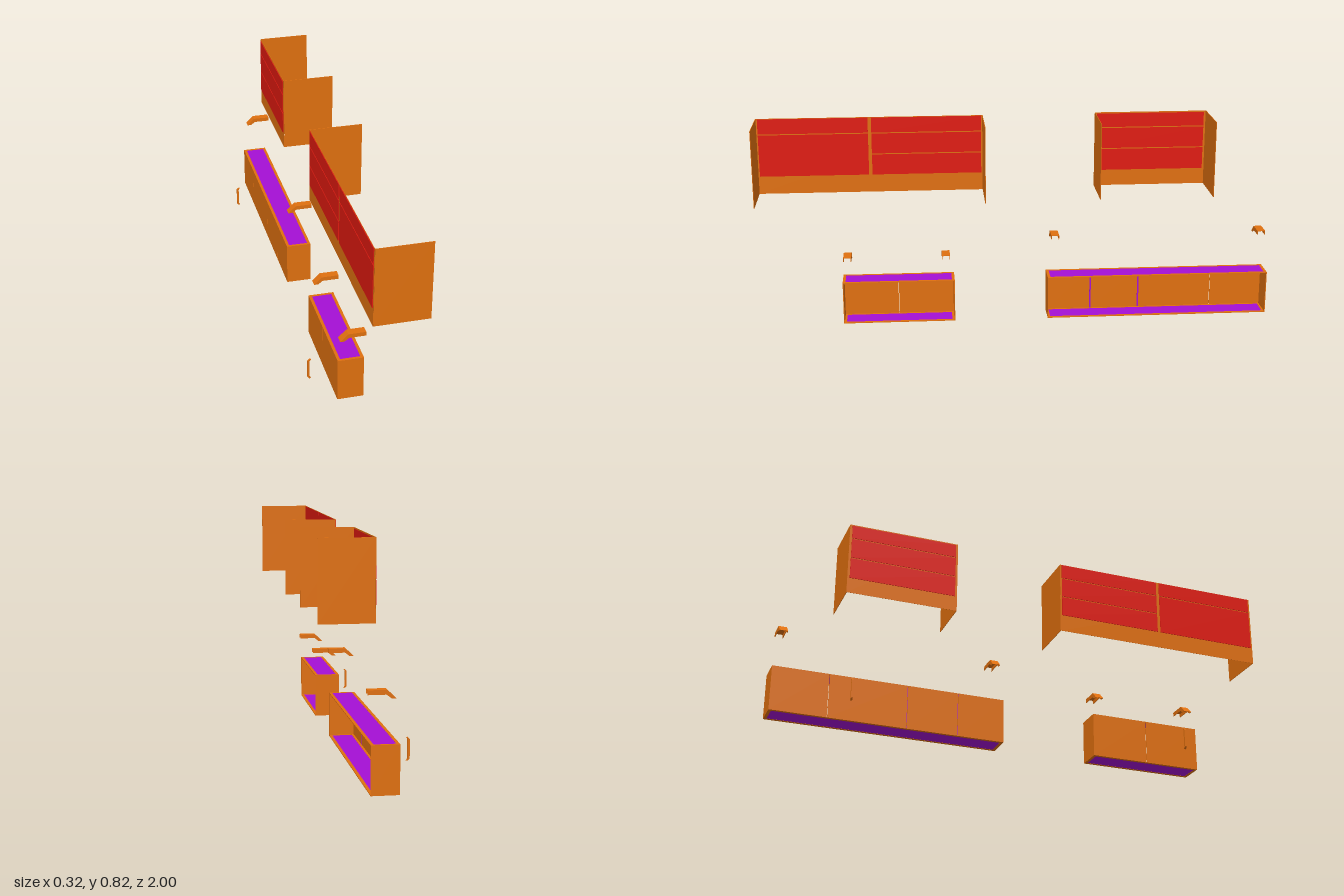
import * as THREE from 'three';

const mat = (color) => new THREE.MeshStandardMaterial({ color, side: THREE.DoubleSide });
const ORANGE = mat(0xe0700f), RED = mat(0xe01a10), PURPLE = mat(0xa510d5);

// Box given by its limits on each axis
function slab(parent, name, material, [x0, x1], [y0, y1], [z0, z1]) {
  const mesh = new THREE.Mesh(new THREE.BoxGeometry(x1 - x0, y1 - y0, z1 - z0), material);
  mesh.position.set((x0 + x1) / 2, (y0 + y1) / 2, (z0 + z1) / 2);
  mesh.name = name;
  parent.add(mesh);
}

// Side profile in x and y, extruded across z around zc
function profile(parent, name, points, width, zc) {
  const shape = new THREE.Shape(points.map(([x, y]) => new THREE.Vector2(x, y)));
  const geo = new THREE.ExtrudeGeometry(shape, { depth: width, bevelEnabled: false });
  geo.translate(0, 0, zc - width / 2);
  const mesh = new THREE.Mesh(geo, ORANGE);
  mesh.name = name;
  parent.add(mesh);
}

function group(parent, name) {
  const g = new THREE.Group();
  g.name = name;
  parent.add(g);
  return g;
}

// Thin back sheet with red drawer fronts and two end panels; columns = [z0, z1, row limits]
function drawerUnit(parent, name, [y0, y1], [z0, z1], columns) {
  const g = group(parent, name);
  const t = 0.002;
  slab(g, 'backSheet', ORANGE, [-0.0395, -0.0385], [y0, y1], [z0, z1]);
  slab(g, 'endPanel', ORANGE, [-0.038, 0.161], [y0, y1], [z0, z0 + t]);
  slab(g, 'endPanel', ORANGE, [-0.038, 0.161], [y0, y1], [z1 - t, z1]);
  for (const [a, b, rows] of columns) {
    for (let i = 0; i < rows.length - 1; i++) {
      slab(g, 'drawerFront', RED, [-0.042, -0.0375], [rows[i] + 0.002, rows[i + 1] - 0.002], [a, b]);
    }
  }
}

// Long cabinet, open towards +x, with doors on -x and purple inset top and bottom
function cabinet(parent, name, [z0, z1], doorEdges, stripEdges) {
  const g = group(parent, name);
  const x0 = -0.073, x1 = 0.025, h = 0.17, rim = 0.011, t = 0.003;
  slab(g, 'endWall', ORANGE, [x0, x1], [0, h], [z0, z0 + t]);
  slab(g, 'endWall', ORANGE, [x0, x1], [0, h], [z1 - t, z1]);
  for (const y of [0, h - t]) {
    const part = y ? 'top' : 'bottom';
    slab(g, part + 'Panel', PURPLE, [x0 + 0.002, x1 - 0.002], [y + 0.0005, y + t - 0.0005], [z0 + t, z1 - t]);
    slab(g, part + 'Rim', ORANGE, [x0, x0 + rim], [y, y + t], [z0, z1]);
    slab(g, part + 'Rim', ORANGE, [x1 - rim, x1], [y, y + t], [z0, z1]);
    slab(g, part + 'Rim', ORANGE, [x0 + rim, x1 - rim], [y, y + t], [z0, z0 + rim]);
    slab(g, part + 'Rim', ORANGE, [x0 + rim, x1 - rim], [y, y + t], [z1 - rim, z1]);
  }
  const edges = [z0, ...doorEdges, z1];
  for (let i = 0; i < edges.length - 1; i++) {
    slab(g, 'door', ORANGE, [x0, x0 + 0.002], [0.001, h - 0.001], [edges[i] + 0.001, edges[i + 1] - 0.001]);
  }
  for (const z of stripEdges) {
    slab(g, 'doorStrip', PURPLE, [x0 + 0.002, x0 + 0.003], [0.003, h - 0.003], [z - 0.003, z + 0.003]);
  }
}

// Cranked channel, open below: a folded top and two cheeks
function bracket(parent, yTop, zc) {
  const g = group(parent, 'bracket');
  const w = 0.031, t = 0.002;
  const at = (pts) => pts.map(([x, y]) => [x, y + yTop]);
  const outer = [[-0.063, -0.029], [-0.033, 0], [0.033, 0]];
  profile(g, 'bracketTop', at([...outer, [0.033, -t], [-0.032, -t], [-0.060, -0.029]]), w, zc);
  for (const s of [-1, 1]) {
    profile(g, 'bracketCheek', at([...outer, [0.033, -0.016], [-0.030, -0.016], [-0.047, -0.029]]),
      t, zc + s * (w - t) / 2);
  }
}

// Upright bar with both ends bent towards the cabinet
function handle(parent, zc) {
  profile(parent, 'handle', [
    [-0.150, 0.045], [-0.156, 0.045], [-0.163, 0.052], [-0.163, 0.121], [-0.156, 0.128], [-0.150, 0.128],
    [-0.155, 0.121], [-0.155, 0.052],
  ], 0.007, zc);
}

export function createModel() {
  const model = new THREE.Group();
  model.name = 'cabinetSet';

  // Upper drawer units
  drawerUnit(model, 'longDrawerUnit', [0.523, 0.82], [0.132, 1], [
    [0.574, 0.993, [0.59, 0.757, 0.82]],
    [0.139, 0.561, [0.59, 0.674, 0.757, 0.82]],
  ]);
  drawerUnit(model, 'shortDrawerUnit', [0.53, 0.823], [-0.74, -0.303], [
    [-0.731, -0.312, [0.59, 0.678, 0.762, 0.82]],
  ]);

  // Lower cabinets
  cabinet(model, 'longCabinet', [-1, -0.119], [-0.79, -0.495, -0.3], [-0.495, -0.3]);
  cabinet(model, 'shortCabinet', [0.25, 0.69], [0.472], []);

  // Brackets above each cabinet end
  for (const z of [-0.966, -0.146]) bracket(model, 0.348, z);
  for (const z of [0.283, 0.668]) bracket(model, 0.276, z);

  // Door handles
  for (const z of [-0.725, 0.598]) handle(model, z);
  return model;
}
